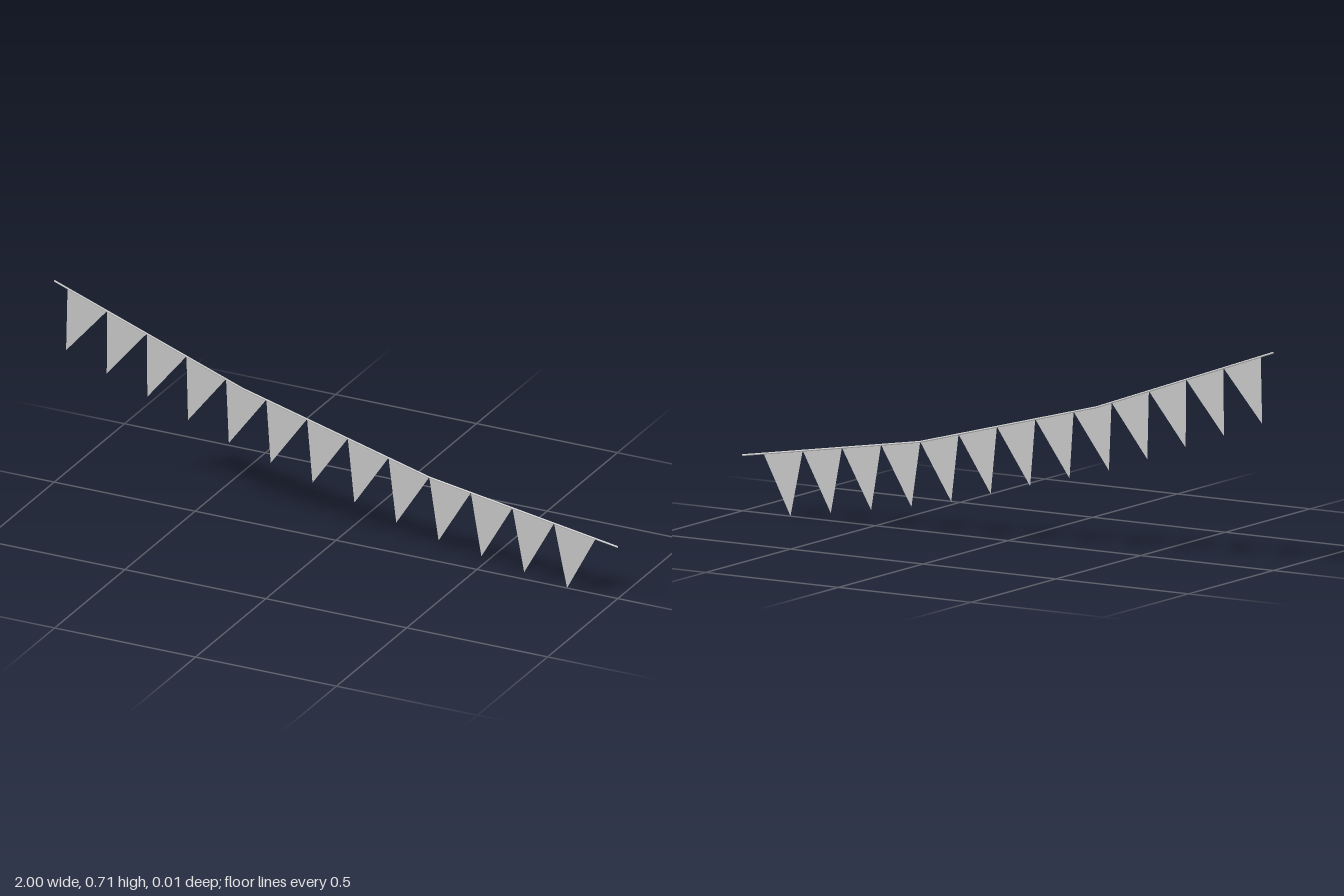
import * as THREE from 'three';

const ROPE_RADIUS = 0.003;
const FLAG_COUNT = 13;
const FLAG_LENGTH = 0.206;
const START = 0.05; // bare cord before the first flag
const FLAG_WIDTH = 0.1495;

export function createModel() {
  const group = new THREE.Group();
  group.name = 'bunting';
  const cordMaterial = new THREE.MeshStandardMaterial({ color: 0xcccccc });
  const flagMaterial = new THREE.MeshStandardMaterial({ color: 0xcccccc, side: THREE.DoubleSide });

  // Sagging cord path in three straight spans
  const knots = [[-1, 0.703], [-0.333, 0.463], [0.333, 0.287], [1, 0.18]]
    .map(([x, y]) => new THREE.Vector3(x, y, 0));
  const path = new THREE.CurvePath();
  const up = new THREE.Vector3(0, 1, 0);

  for (let i = 0; i < knots.length - 1; i++) {
    const a = knots[i], b = knots[i + 1];
    path.add(new THREE.LineCurve3(a, b));
    const span = new THREE.Mesh(
      new THREE.CylinderGeometry(ROPE_RADIUS, ROPE_RADIUS, a.distanceTo(b), 8), cordMaterial);
    span.name = `cordSpan${i + 1}`;
    span.position.lerpVectors(a, b, 0.5);
    span.quaternion.setFromUnitVectors(up, b.clone().sub(a).normalize());
    group.add(span);
  }

  // Triangular flags, each hanging square to the sag of the cord
  const total = path.getLength();
  const pointOnCord = (d) => path.getPoint(d / total);
  for (let i = 0; i < FLAG_COUNT; i++) {
    const d = START + i * FLAG_WIDTH;
    const left = pointOnCord(d);
    const right = pointOnCord(d + FLAG_WIDTH);
    const mid = pointOnCord(d + FLAG_WIDTH / 2);
    const angle = Math.atan(-0.262 + 0.149 * mid.x);
    const tip = new THREE.Vector3(
      mid.x + Math.sin(angle) * FLAG_LENGTH,
      Math.max(0, mid.y - Math.cos(angle) * FLAG_LENGTH), 0);
    const shape = new THREE.Shape([left, tip, right].map((p) => new THREE.Vector2(p.x, p.y)));
    const flag = new THREE.Mesh(new THREE.ShapeGeometry(shape), flagMaterial);
    flag.name = `flag${i + 1}`;
    group.add(flag);
  }
  return group;
}
